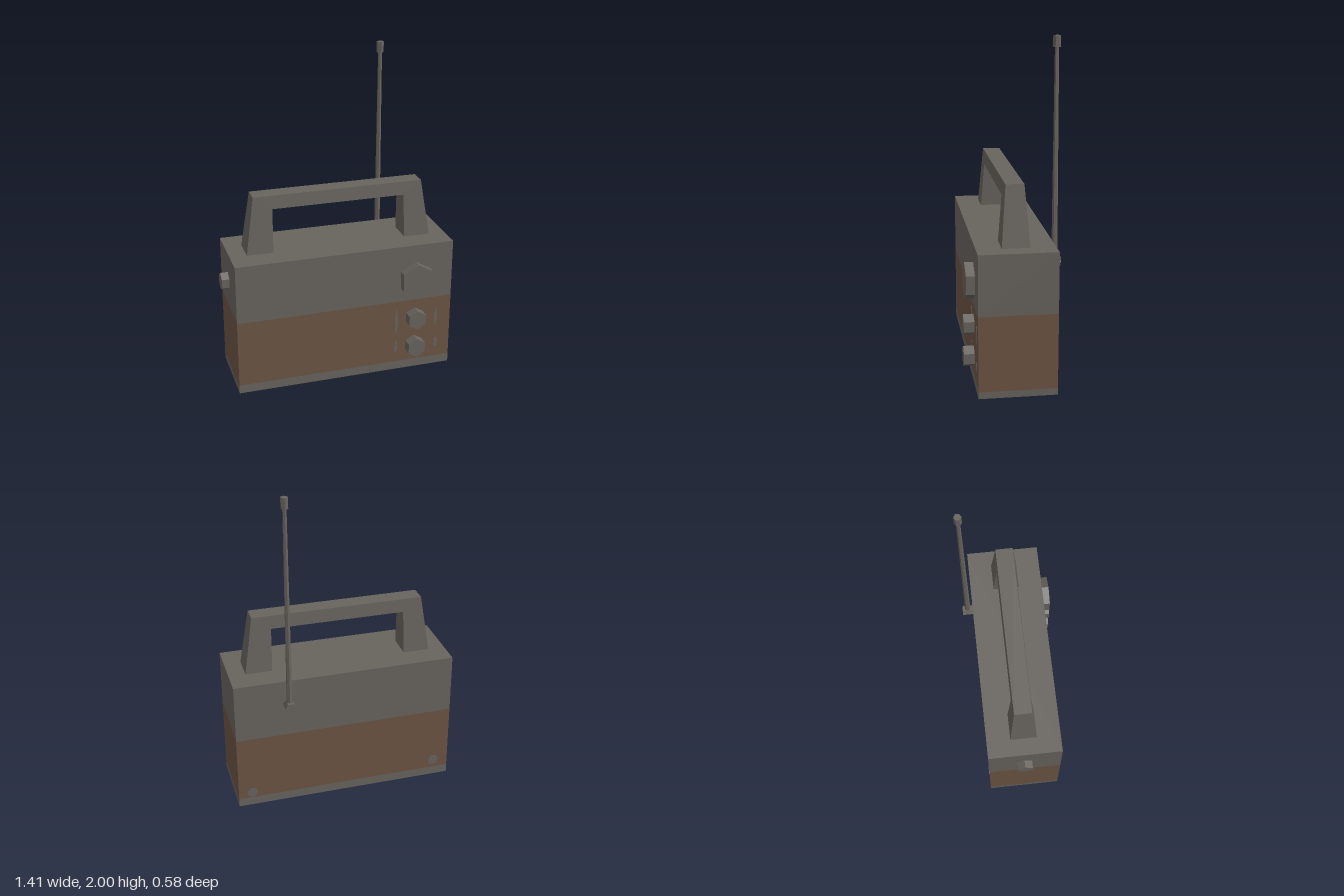
import * as THREE from 'three';

const grey = new THREE.MeshStandardMaterial({ name: 'worn grey', color: 0x67635d, flatShading: true });
const brown = new THREE.MeshStandardMaterial({ name: 'faded brown', color: 0x6b5443, flatShading: true });

export function createModel() {
  const group = new THREE.Group();
  const add = (name, geometry, x, y, z, material = grey) => {
    const mesh = new THREE.Mesh(geometry, material);
    mesh.name = name;
    mesh.position.set(x, y, z);
    group.add(mesh);
    return mesh;
  };
  // Hexagonal prism along z
  const hexKnob = (r, depth) => new THREE.CylinderGeometry(r, r, depth, 6).rotateX(Math.PI / 2);

  // Case: one box with three rows, the middle row painted brown
  const W = 1.366, H = 0.846, D = 0.454, cx = 0.022;
  const body = new THREE.BoxGeometry(W, H, D, 1, 3, 1);
  const pos = body.attributes.position, nor = body.attributes.normal;
  for (let i = 0; i < pos.count; i++) {
    const row = Math.round((pos.getY(i) / H + 0.5) * 3);
    const side = Math.abs(nor.getX(i)) > 0.5;
    pos.setY(i, [0, side ? 0.04 : 0.055, side ? 0.488 : 0.477, H][row]);
  }
  body.clearGroups();
  for (const start of [0, 18, 48, 66]) {
    body.addGroup(start, 6, 0);
    body.addGroup(start + 6, 6, 1);
    body.addGroup(start + 12, 6, 0);
  }
  body.addGroup(36, 12, 0); // top and bottom
  add('case', body, cx, 0, 0, [grey, brown]);

  // Carrying handle: arch outline that narrows in depth towards the top
  const arch = new THREE.Shape([
    [-0.557, 0.846], [-0.395, 0.846], [-0.39, 1.117], [0.433, 1.117],
    [0.439, 0.846], [0.602, 0.846], [0.548, 1.2], [-0.505, 1.2],
  ].map(([x, y]) => new THREE.Vector2(x, y)));
  const handle = new THREE.ExtrudeGeometry(arch, { depth: 2, bevelEnabled: false }).translate(0, 0, -1);
  const hp = handle.attributes.position;
  for (let i = 0; i < hp.count; i++) {
    const t = (hp.getY(i) - 0.846) / 0.354;
    hp.setZ(i, hp.getZ(i) * THREE.MathUtils.lerp(0.081, 0.053, t));
  }
  handle.computeVertexNormals();
  add('handle', handle, 0, 0, 0);

  // Front and side knobs
  add('tuningKnob', hexKnob(0.11, 0.06), 0.465, 0.625, 0.249);
  for (const y of [0.36, 0.165]) add('smallKnob', hexKnob(0.062, 0.07), 0.465, y, 0.254);
  add('sideKnob', hexKnob(0.055, 0.055).rotateY(Math.PI / 2), -0.68, 0.66, -0.005);

  // Antenna on the back: pivot, tapered rod, tip
  const ax = 0.378, az = -0.259;
  const pivot = new THREE.CylinderGeometry(0.033, 0.033, 0.066, 6).rotateY(Math.PI / 6).rotateX(Math.PI / 2);
  add('antennaPivot', pivot, ax, 0.694, az);
  add('antennaRod', new THREE.CylinderGeometry(0.012, 0.018, 1.24, 6), ax, 1.33, az);
  add('antennaTip', new THREE.CylinderGeometry(0.022, 0.022, 0.065, 6), ax, 1.9675, az);

  // Worn grey marks beside the small knobs
  for (const [x, y, w, h] of [
    [0.346, 0.34, 0.02, 0.18], [0.346, 0.165, 0.02, 0.09],
    [0.608, 0.34, 0.02, 0.12], [0.613, 0.155, 0.032, 0.07],
  ]) {
    add('wornMark', new THREE.CylinderGeometry(0.5, 0.5, 0.004, 10).rotateX(Math.PI / 2), x, y, 0.227).scale.set(w, h, 1);
  }

  // Screw heads low on the back
  for (const [x, y] of [[0.62, 0.09], [-0.565, 0.11]]) {
    add('backScrew', new THREE.CylinderGeometry(0.033, 0.033, 0.004, 12).rotateX(Math.PI / 2), x, y, -0.227);
  }
  return group;
}
